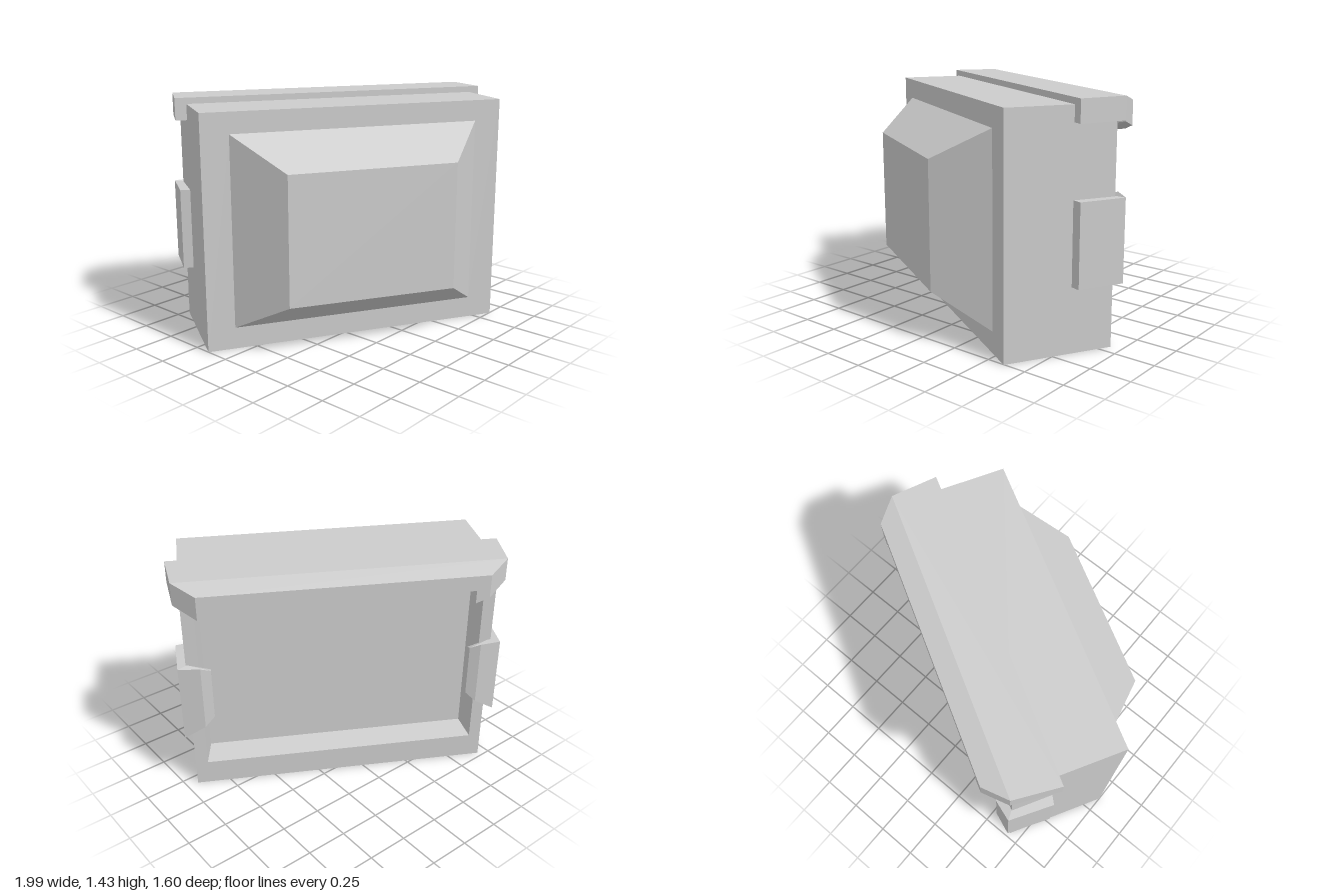
import * as THREE from 'three';

const material = new THREE.MeshStandardMaterial({ color: 0xcccccc, flatShading: true });

function meshFrom(name, triangles) {
  const geometry = new THREE.BufferGeometry();
  geometry.setAttribute('position', new THREE.Float32BufferAttribute(triangles.flat(2), 3));
  geometry.computeVertexNormals();
  const mesh = new THREE.Mesh(geometry, material);
  mesh.name = name;
  return mesh;
}

// Joins rectangles [halfWidth, bottom, top, z] listed from front to back and caps both ends
function rectLoft(name, rects) {
  const rings = rects.map(([w, y0, y1, z]) => [[-w, y0, z], [w, y0, z], [w, y1, z], [-w, y1, z]]);
  const tris = [];
  const quad = (a, b, c, d) => tris.push([a, b, c], [a, c, d]);
  for (let i = 0; i < rings.length - 1; i++) {
    for (let j = 0; j < 4; j++) {
      const k = (j + 1) % 4;
      quad(rings[i][j], rings[i + 1][j], rings[i + 1][k], rings[i][k]);
    }
  }
  quad(...rings[0]);
  quad(...[...rings[rings.length - 1]].reverse());
  return meshFrom(name, tris);
}

// Upright prism: corners [x, z, bottom, top], each with its own heights
function prism(name, corners, side = 1) {
  let pts = corners.map(([x, z, y0, y1]) => [x * side, z, y0, y1]);
  const flat = (list) => list.map(([x, z]) => new THREE.Vector2(x, -z));
  if (THREE.ShapeUtils.area(flat(pts)) < 0) pts = pts.reverse();
  const low = pts.map(([x, z, y0]) => [x, y0, z]);
  const high = pts.map(([x, z, , y1]) => [x, y1, z]);
  const tris = [];
  pts.forEach((_, i) => {
    const j = (i + 1) % pts.length;
    tris.push([low[i], low[j], high[j]], [low[i], high[j], high[i]]);
  });
  for (const [a, b, c] of THREE.ShapeUtils.triangulateShape(flat(pts), [])) {
    tris.push([high[a], high[b], high[c]], [low[a], low[c], low[b]]);
  }
  return meshFrom(name, tris);
}

export function createModel() {
  const model = new THREE.Group();
  model.name = 'case';
  // The whole case stands turned about the vertical axis
  const turned = new THREE.Group();
  turned.name = 'turnedCase';
  turned.position.set(-0.195, 0, 0.303);
  turned.rotation.y = -0.51;
  model.add(turned);

  // Body: raised front panel, box walls, rear rim and tapered recess
  turned.add(rectLoft('body', [
    [0.507, 0.317, 1.08, 0.278],
    [0.76, 0.13, 1.27, 0],
    [0.9225, 0, 1.395, 0],
    [0.9225, 0, 1.395, -0.656],
    [0.85, 0.155, 1.3, -0.656],
    [0.82, 0.185, 1.295, -0.805 + 0.298],
  ]));

  // Lid: flat plate, then a rear strip sloping down
  turned.add(prism('lidPlate', [
    [-0.99, -0.4, 1.3, 1.432], [0.99, -0.4, 1.3, 1.432],
    [0.96, -0.685, 1.3, 1.432], [-0.96, -0.685, 1.3, 1.432],
  ]));
  turned.add(prism('lidRearSlope', [
    [-0.96, -0.685, 1.3, 1.432], [0.96, -0.685, 1.3, 1.432],
    [0.83, -0.803, 1.3, 1.392], [-0.83, -0.803, 1.3, 1.392],
  ]));

  for (const side of [1, -1]) {
    const word = side > 0 ? 'left' : 'right';
    // Corner lips hanging below the lid
    turned.add(prism(word + 'LidHook', [
      [0.96, -0.685, 1.295, 1.3], [0.83, -0.803, 1.25, 1.3], [0.75, -0.803, 1.22, 1.3],
      [0.85, -0.65, 1.24, 1.3], [0.92, -0.65, 1.285, 1.3],
    ], side));
    // Clips wrapping around the rear edges
    turned.add(prism(word + 'SideClip', [
      [0.915, -0.4, 0.39, 0.88], [0.98, -0.415, 0.39, 0.88], [0.97, -0.695, 0.39, 0.88],
      [0.84, -0.72, 0.475, 0.885], [0.78, -0.697, 0.53, 0.855], [0.78, -0.656, 0.53, 0.84],
      [0.915, -0.652, 0.4, 0.88],
    ], side));
  }
  return model;
}
